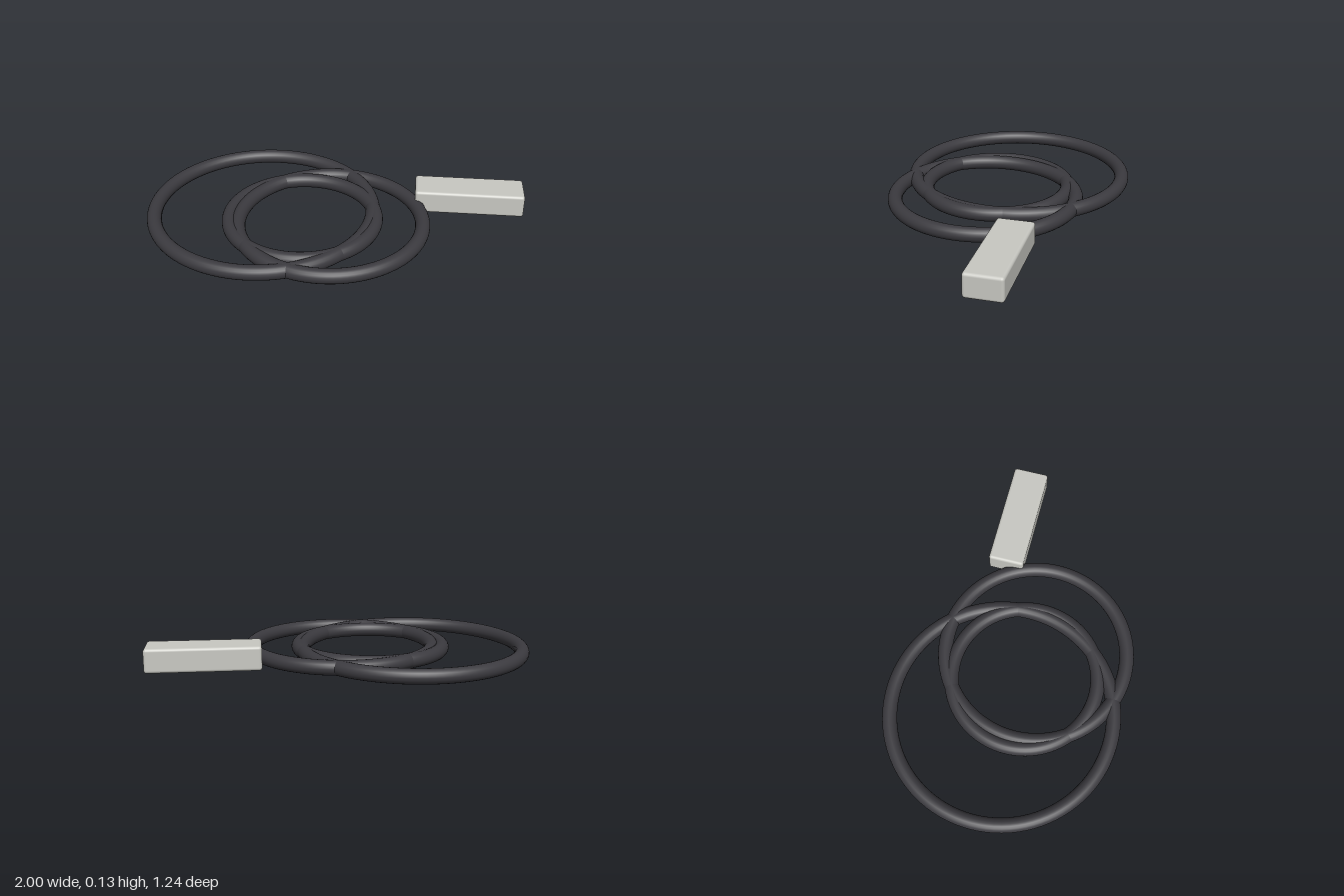
import * as THREE from 'three';
import { RoundedBoxGeometry } from 'three/addons/geometries/RoundedBoxGeometry.js';

const TUBE = 0.0385; // cable thickness radius

export function createModel() {
  const group = new THREE.Group();
  group.name = 'coiledCable';

  const rubber = new THREE.MeshStandardMaterial({ color: 0x3b3a3f });
  rubber.name = 'dark rubber';
  const casing = new THREE.MeshStandardMaterial({ color: 0xc8c8c2 });
  casing.name = 'light grey casing';

  // Overlapping cable loops lying flat: name, x, z, ring radius
  const loops = [
    ['outerLoop', -0.38, 0, 0.581],
    ['middleLoop', -0.015, 0.092, 0.482],
    ['innerLoop', -0.165, 0.068, 0.385],
  ];
  for (const [name, x, z, radius] of loops) {
    const loop = new THREE.Mesh(new THREE.TorusGeometry(radius, TUBE, 20, 96), rubber);
    loop.name = name;
    loop.rotation.x = -Math.PI / 2;
    loop.position.set(x, TUBE, z);
    group.add(loop);
  }

  // Connector block with softened edges
  const connector = new THREE.Mesh(new RoundedBoxGeometry(0.58, 0.124, 0.192, 3, 0.015), casing);
  connector.name = 'connector';
  connector.position.set(0.71, 0.067, -0.189);
  group.add(connector);

  return group;
}
